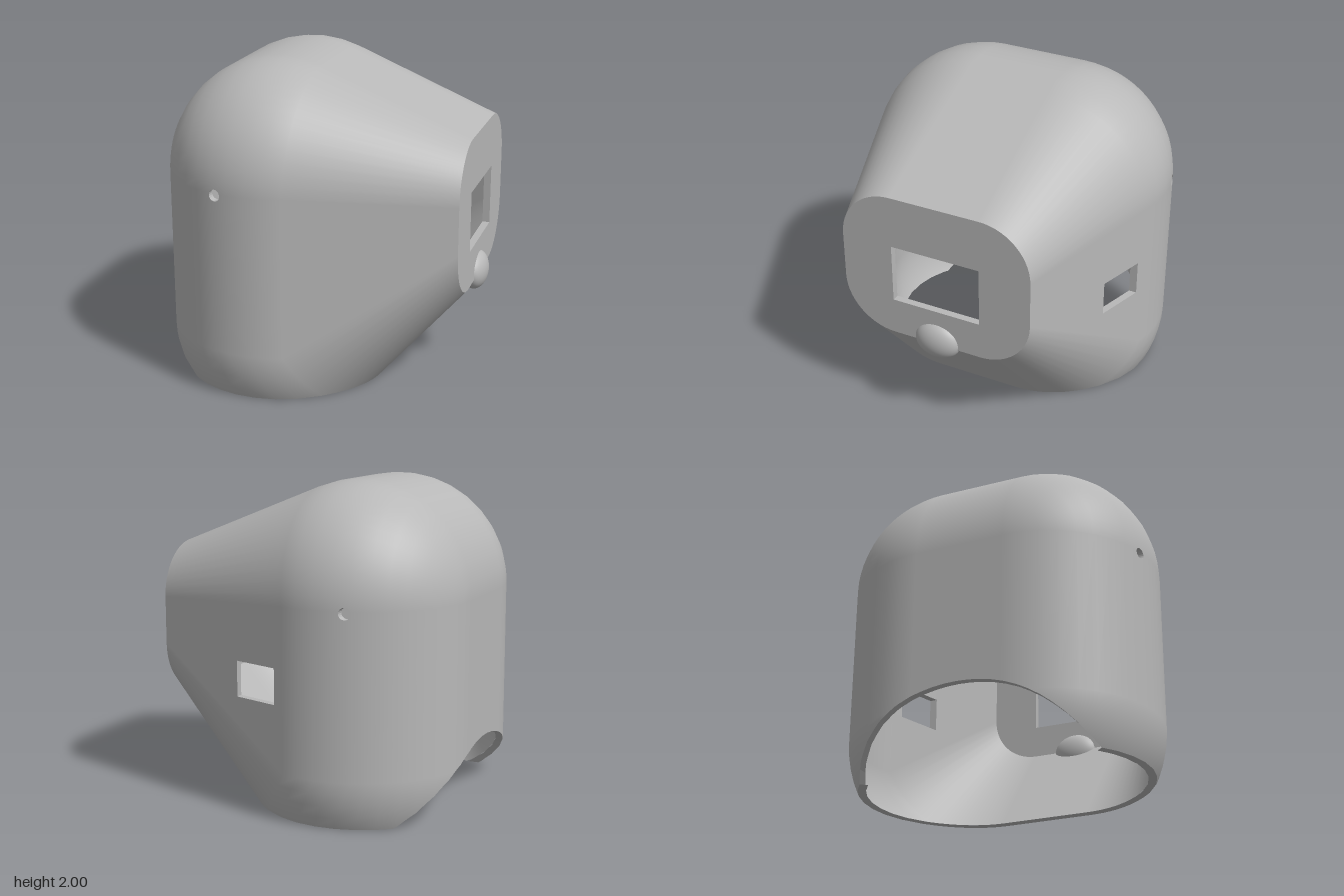
import * as THREE from 'three';

const T = 0.045; // wall thickness
const grey = new THREE.MeshStandardMaterial({ color: 0xb8b8b8 });
grey.name = 'plain grey';

// Convex faces of the mask skin: four rounded corners tapering to a flat face plate.
// A vertex is [x, y, z, nx, ny, nz]. "inset" gives the inner skin.
function skin(inset) {
  const r = 0.7 - inset, rim = 0.33 - 0.6 * inset, px = 0.92 - inset, cx = -0.28;
  const columns = [], steps = 14, rows = 12;
  const corners = [[1, 1], [1, -1], [-1, -1], [-1, 1]]; // signs of y, z
  corners.forEach(([sy, sz], k) => {
    const cy = sy > 0 ? 1.3 : 0.3, cz = 0.28 * sz;
    const py = sy > 0 ? 1.245 : 0.95, pz = 0.29 * sz;
    for (let i = 0; i <= steps; i++) {
      const phi = (k + i / steps) * Math.PI / 2, s = Math.sin(phi), c = Math.cos(phi);
      // angle at which the taper leaves the round back tangentially
      const A = px - cx, B = (py - cy) * s + (pz - cz) * c + rim;
      const end = Math.atan2(A, B) - Math.acos(r / Math.hypot(A, B));
      const col = [];
      for (let j = 0; j <= rows; j++) {
        const a = -Math.PI / 2 + (end + Math.PI / 2) * j / rows;
        const n = [Math.sin(a), Math.cos(a) * s, Math.cos(a) * c];
        col.push([cx + r * n[0], cy + r * n[1], cz + r * n[2], ...n]);
      }
      col.push([px, py + rim * s, pz + rim * c, ...col[rows].slice(3)]);
      columns.push(col);
    }
  });
  const faces = [];
  columns.forEach((a, i) => {
    const b = columns[(i + 1) % columns.length];
    for (let j = 0; j <= rows; j++) faces.push([a[j], a[j + 1], b[j + 1], b[j]]);
  });
  faces.push(columns.map(c => [...c[rows + 1].slice(0, 3), 1, 0, 0])); // face plate
  faces.push([0, 1, 2, 3].map(k => columns[k * (steps + 1)][0])); // flat back panel
  return faces;
}

const side = (v, pl) => v[0] * pl.n[0] + v[1] * pl.n[1] + v[2] * pl.n[2] - pl.d;

// Split a convex face by a plane
function split(face, pl) {
  const inside = [], outside = [];
  face.forEach((a, i) => {
    const b = face[(i + 1) % face.length], sa = side(a, pl), sb = side(b, pl);
    if (sa <= 1e-9) inside.push(a);
    if (sa >= -1e-9) outside.push(a);
    if ((sa < -1e-9 && sb > 1e-9) || (sa > 1e-9 && sb < -1e-9)) {
      const m = a.map((v, k) => v + (b[k] - v) * sa / (sa - sb));
      inside.push(m);
      outside.push(m);
    }
  });
  return [inside, outside];
}

// Remove a convex cutter from the faces; optionally collect the cut walls
function carve(faces, cutter, walls) {
  const kept = [];
  for (let face of faces) {
    const pieces = [];
    let gone = face;
    for (const pl of cutter.planes) {
      const [inside, outside] = split(gone, pl);
      if (outside.length > 2) pieces.push(outside);
      gone = inside;
      if (gone.length < 3) break;
    }
    if (gone.length < 3) { kept.push(face); continue; }
    kept.push(...pieces);
    if (!walls) continue;
    gone.forEach((a, i) => {
      const b = gone[(i + 1) % gone.length];
      const pl = cutter.planes.find(p => !p.limit && Math.abs(side(a, p)) < 1e-6 && Math.abs(side(b, p)) < 1e-6);
      if (!pl || a[1] + b[1] < -1e-6) return;
      const n = pl.n.map(v => -v);
      const outer = v => [v[0], v[1], v[2], ...n];
      const inner = v => {
        const h = cutter.mask.map((m, k) => m * v[3 + k]);
        const q = T / (h[0] * h[0] + h[1] * h[1] + h[2] * h[2]);
        return [v[0] - h[0] * q, v[1] - h[1] * q, v[2] - h[2] * q, ...n];
      };
      walls.push([outer(a), outer(b), inner(b), inner(a)]);
    });
  }
  return kept;
}

// Prism cutter along x (axis 0) or z (axis 2) from a counter-clockwise outline
function prism(axis, pts, limits = []) {
  const planes = limits.map(([n, d]) => ({ n, d, limit: true }));
  pts.forEach(([u, v], i) => {
    const [u2, v2] = pts[(i + 1) % pts.length];
    const l = Math.hypot(u2 - u, v2 - v), a = (v2 - v) / l, b = (u - u2) / l;
    planes.push({ n: axis === 2 ? [a, b, 0] : [0, b, a], d: a * u + b * v });
  });
  return { planes, mask: axis === 2 ? [0, 0, 1] : [1, 0, 0] };
}
const rect = (u0, v0, u1, v1) => [[u0, v0], [u1, v0], [u1, v1], [u0, v1]];
const arc = (u, v, r, from, to, n) => Array.from({ length: n }, (_, i) => {
  const a = from + (to - from) * i / (n - 1);
  return [u + r * Math.cos(a), v + r * Math.sin(a)];
});

// Fan the faces into triangles, turned to agree with their normals
function toMesh(name, faces, flip = 1) {
  const pos = [], nor = [];
  const sub = (a, b) => new THREE.Vector3(a[0] - b[0], a[1] - b[1], a[2] - b[2]);
  for (const f of faces) {
    for (let i = 1; i < f.length - 1; i++) {
      const g = sub(f[i], f[0]).cross(sub(f[i + 1], f[0]));
      if (g.length() < 1e-10) continue;
      const sum = [3, 4, 5].map(k => f[0][k] + f[i][k] + f[i + 1][k]);
      const ahead = (g.x * sum[0] + g.y * sum[1] + g.z * sum[2]) * flip > 0;
      for (const v of ahead ? [f[0], f[i], f[i + 1]] : [f[0], f[i + 1], f[i]]) {
        pos.push(v[0], v[1], v[2]);
        nor.push(v[3] * flip, v[4] * flip, v[5] * flip);
      }
    }
  }
  const geo = new THREE.BufferGeometry();
  geo.setAttribute('position', new THREE.Float32BufferAttribute(pos, 3));
  geo.setAttribute('normal', new THREE.Float32BufferAttribute(nor, 3));
  geo.normalizeNormals();
  const mesh = new THREE.Mesh(geo, grey);
  mesh.name = name;
  return mesh;
}

export function createModel() {
  const group = new THREE.Group();
  group.name = 'mask';

  const start = Math.atan2(0.49, 0.76);
  const neck = [...arc(0, -0.49, 0.904, start, Math.PI - start, 25), [-0.76, -1], [0.76, -1]];
  const cutters = [
    prism(0, neck, [[[1, 0, 0], -0.3]]), // arched notch at the back
    { planes: [{ n: [0, 1, 0], d: 0 }], mask: [1, 0, 1] }, // open bottom
    prism(0, rect(-0.29, 0.86, 0.29, 1.24), [[[-1, 0, 0], -0.5]]), // viewing window
    prism(2, rect(0, 0.71, 0.3, 0.93), [[[0, 0, 1], 0]]), // slot in one side
    prism(2, arc(-0.465, 1.29, 0.036, 0, Math.PI * 2, 21).slice(0, 20)), // pivot holes
  ];
  let outer = skin(0), inner = skin(T);
  const walls = [];
  for (const c of cutters) {
    outer = carve(outer, c, walls);
    inner = carve(inner, c);
  }
  group.add(toMesh('outerShell', outer), toMesh('innerShell', inner, -1), toMesh('rimsAndHoleEdges', walls));

  // Knob below the window
  const knob = new THREE.Mesh(new THREE.SphereGeometry(1, 40, 24), grey);
  knob.name = 'knob';
  knob.scale.set(0.08, 0.122, 0.15);
  knob.position.set(0.9, 0.643, 0);
  group.add(knob);
  return group;
}
